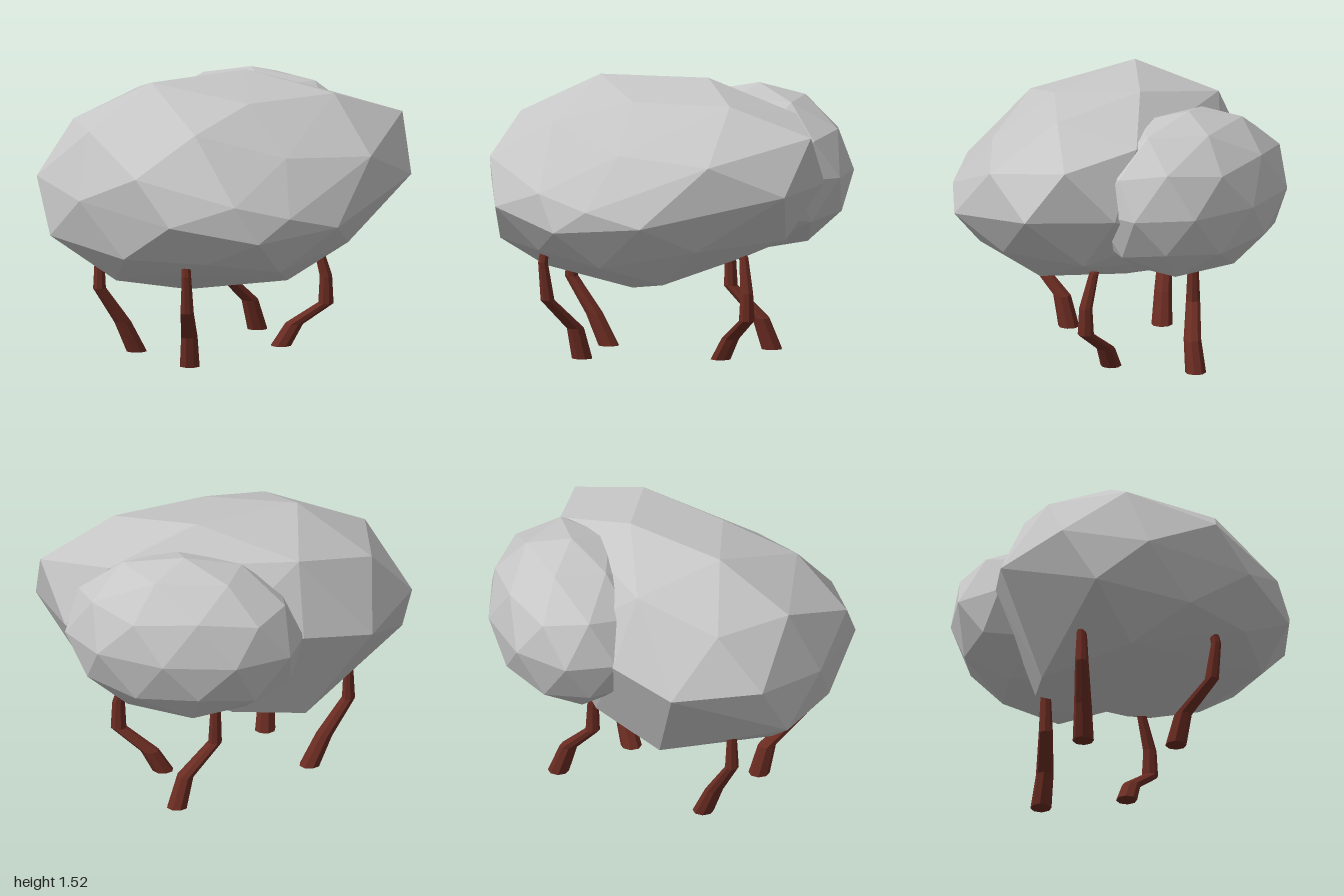
import * as THREE from 'three';
import { ConvexGeometry } from 'three/addons/geometries/ConvexGeometry.js';

const bodyGrey = new THREE.MeshStandardMaterial({ color: 0xc6c6c6 });
bodyGrey.name = 'bodyGrey';
const legBrown = new THREE.MeshStandardMaterial({ color: 0x6a2c22 });
legBrown.name = 'legBrown';

// Corners of the faceted body, from top to bottom
const bodyCorners = [
  [-0.41, 1.52, -0.02], [0.2, 1.525, -0.13], [0, 1.44, 0.37], [0.55, 1.44, 0.28],
  [0.72, 1.355, -0.18], [1, 1.285, 0.18], [-0.27, 1.4, -0.5], [-0.74, 1.29, -0.33],
  [-0.835, 1.305, 0.105], [-0.4, 1.33, 0.555], [-0.77, 1.12, 0.59], [0.08, 1.19, 0.7],
  [0.61, 1.15, 0.645], [0.955, 0.98, 0.405], [0.94, 1, -0.09], [-1, 1.01, -0.235],
  [-0.95, 0.95, 0.235], [-0.31, 0.98, 0.89], [0, 0.9, 0.93], [-0.645, 0.87, 0.765],
  [-0.19, 0.775, 0.945], [0.31, 0.82, 0.88], [-0.66, 0.95, -0.6], [-0.25, 1.01, -0.66],
  [-1, 0.71, -0.05], [-0.78, 0.65, 0.45], [-0.4, 0.64, 0.72], [0.01, 0.575, 0.78],
  [0.5, 0.67, 0.585], [0.8, 0.7, 0.1], [-0.68, 0.465, 0.12], [0.21, 0.45, 0.42],
  [-0.2, 0.355, 0], [-0.34, 0.43, -0.4], [0.1, 0.53, -0.47], [0.5, 0.575, 0],
  [0.3, 0.95, -0.6], [0.6, 0.85, -0.4],
];

// Leg centre lines, from foot to top
const legs = {
  frontRightLeg: [[-0.335, 0, 0.335], [-0.355, 0.17, 0.375], [-0.44, 0.34, 0.54], [-0.455, 0.55, 0.565], [-0.45, 0.66, 0.54]],
  backRightLeg: [[-0.435, 0, -0.165], [-0.52, 0.17, -0.16], [-0.66, 0.37, -0.155], [-0.66, 0.56, -0.155]],
  backLeftLeg: [[0.415, 0, -0.465], [0.36, 0.17, -0.44], [0.185, 0.34, -0.42], [0.18, 0.62, -0.42]],
  frontLeftLeg: [[0.35, 0, 0.01], [0.42, 0.12, 0.03], [0.57, 0.24, 0.12], [0.57, 0.39, 0.12], [0.53, 0.58, 0.08], [0.48, 0.65, 0.06]],
};

function addMesh(group, name, geometry, material) {
  const mesh = new THREE.Mesh(geometry, material);
  mesh.name = name;
  group.add(mesh);
}

// Faceted ellipsoid with a corner at its top, turned towards the back corner
function lumpGeometry() {
  const geometry = new THREE.IcosahedronGeometry(1, 1);
  geometry.rotateZ(-Math.atan(2 / (1 + Math.sqrt(5))));
  geometry.scale(0.67, 0.46, 0.46).rotateY(-0.56).translate(0.36, 1.015, -0.42);
  geometry.computeVertexNormals();
  return geometry;
}

// Tapered eight-sided tube whose level rings follow a centre line
function legGeometry(path) {
  const segments = path.length - 1;
  const geometry = new THREE.CylinderGeometry(1, 1, segments, 8, segments).toNonIndexed();
  const pos = geometry.attributes.position;
  for (let i = 0; i < pos.count; i++) {
    const k = Math.round(pos.getY(i) + segments / 2);
    const [x, y, z] = path[k];
    const r = THREE.MathUtils.lerp(0.058, 0.026, Math.min(y / 0.58, 1));
    pos.setXYZ(i, x + pos.getX(i) * r, y, z + pos.getZ(i) * r);
  }
  geometry.computeVertexNormals();
  return geometry;
}

export function createModel() {
  const group = new THREE.Group();
  group.name = 'creature';

  // Large faceted body with a smaller lump sunk into its back corner
  const bodyPoints = bodyCorners.map((p) => new THREE.Vector3(...p));
  addMesh(group, 'body', new ConvexGeometry(bodyPoints), bodyGrey);
  addMesh(group, 'backLump', lumpGeometry(), bodyGrey);

  // Four bent legs
  for (const [name, path] of Object.entries(legs)) addMesh(group, name, legGeometry(path), legBrown);

  return group;
}
